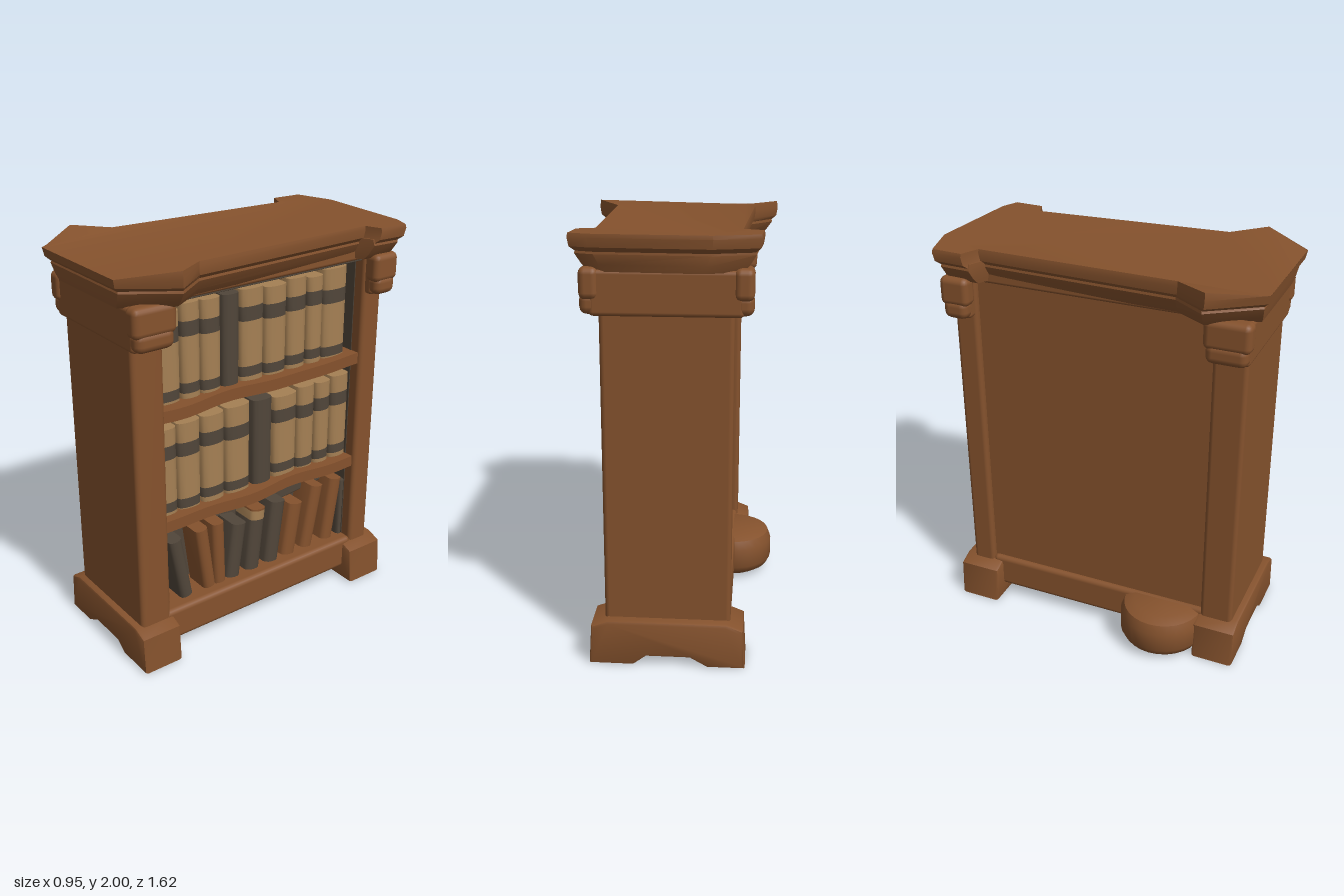
import * as THREE from 'three';
import { toCreasedNormals } from 'three/addons/utils/BufferGeometryUtils.js';
import { RoundedBoxGeometry } from 'three/addons/geometries/RoundedBoxGeometry.js';

const material = (name, color) => Object.assign(new THREE.MeshStandardMaterial({ color }), { name });
const wood = material('warm wood', 0x85522d);
const tan = material('tan leather', 0xa58054);
const dark = material('dark grey brown', 0x51463a);

function add(parent, name, geometry, mat, x = 0, y = 0, z = 0) {
  const mesh = new THREE.Mesh(geometry, mat);
  mesh.name = name;
  mesh.position.set(x, y, z);
  parent.add(mesh);
  return mesh;
}

// Soft-edged block given by its limits
function block(parent, name, mat, [x0, x1], [y0, y1], [z0, z1], radius = 0.015) {
  const g = new RoundedBoxGeometry(x1 - x0, y1 - y0, z1 - z0, 2, radius);
  return add(parent, name, g, mat, (x0 + x1) / 2, (y0 + y1) / 2, (z0 + z1) / 2);
}

// Closed loft of one outline through several levels; levels hold [y, xScale, zScale]
function loft(outline, levels) {
  const n = outline.length, pos = [], index = [];
  levels.forEach(([y, sx, sz], k) => outline.forEach(([x, z, lift]) =>
    pos.push(x * sx, y + (k === levels.length - 1 ? lift : 0), z * sz)));
  for (let k = 0; k < levels.length - 1; k++) {
    for (let i = 0; i < n; i++) {
      const a = k * n + i, b = k * n + (i + 1) % n;
      index.push(a, b, b + n, a, b + n, a + n);
    }
  }
  const flat = outline.map(([x, z]) => new THREE.Vector2(x, -z));
  const top = (levels.length - 1) * n;
  for (const [a, b, c] of THREE.ShapeUtils.triangulateShape(flat, [])) {
    index.push(a, c, b, top + a, top + b, top + c);
  }
  const g = new THREE.BufferGeometry();
  g.setAttribute('position', new THREE.Float32BufferAttribute(pos, 3));
  g.setIndex(index);
  return toCreasedNormals(g, 0.5);
}

// Upright book with a rounded spine towards +x, stacked from coloured bands
const bookProfile = (w) => {
  const s = new THREE.Shape();
  s.moveTo(-0.14, -w / 2);
  s.lineTo(-0.025, -w / 2);
  s.bezierCurveTo(0.008, -w / 2, 0.008, w / 2, -0.025, w / 2);
  s.lineTo(-0.14, w / 2);
  s.closePath();
  return s;
};
function book(parent, name, z, y, width, bands) {
  const group = new THREE.Group();
  group.name = name;
  group.position.set(0.235, y, z);
  let h = 0;
  for (const [height, mat] of bands) {
    const g = new THREE.ExtrudeGeometry(bookProfile(width), { depth: height, bevelEnabled: false, curveSegments: 6 });
    g.rotateX(-Math.PI / 2);
    add(group, 'bookBand', toCreasedNormals(g, 0.7), mat, 0, h, 0);
    h += height;
  }
  parent.add(group);
  return group;
}

// Plinth block with two feet and a hollow between them
function baseBlock(parent, name, z, depth) {
  const s = new THREE.Shape([[-0.345, 0.015], [-0.19, 0.015], [-0.11, 0.06], [0.1, 0.06], [0.16, 0.015],
    [0.345, 0.015], [0.335, 0.18], [0.27, 0.205], [-0.27, 0.205], [-0.335, 0.18]]
    .map(([x, y]) => new THREE.Vector2(x, y)));
  const b = 0.015;
  const g = new THREE.ExtrudeGeometry(s, { depth: depth - 2 * b, bevelEnabled: true, bevelSize: b, bevelThickness: b, bevelSegments: 2 });
  add(parent, name, toCreasedNormals(g, 0.7), wood, 0, 0, z + b);
}

export function createModel() {
  const model = new THREE.Group();
  model.name = 'bookcase';

  // Cabinet body and recess lining
  block(model, 'backPanel', wood, [-0.26, 0.06], [0.08, 1.86], [-0.66, 0.66]);
  block(model, 'recessBack', dark, [0.055, 0.066], [0.2, 1.85], [-0.615, 0.57], 0.003);
  block(model, 'recessCeiling', dark, [0.06, 0.265], [1.795, 1.81], [-0.615, 0.57], 0.003);
  for (const [z0, z1] of [[0.56, 0.57], [-0.617, -0.607]]) {
    block(model, 'recessSide', dark, [0.06, 0.225], [0.23, 1.81], [z0, z1], 0.003);
  }
  block(model, 'lintel', wood, [-0.28, 0.28], [1.805, 1.9], [-0.68, 0.68]);
  block(model, 'plinth', wood, [-0.285, 0.29], [0.065, 0.24], [-0.62, 0.6], 0.025);

  // Side walls, capitals and feet
  for (const [z0, z1, c0, c1] of [[0.565, 0.73, 0.55, 0.745], [-0.73, -0.61, -0.745, -0.62]]) {
    block(model, 'sideWall', wood, [-0.29, 0.29], [0.15, 1.85], [z0, z1], 0.022);
    block(model, 'capital', wood, [-0.33, 0.33], [1.63, 1.83], [c0, c1], 0.02);
    for (const side of [-1, 1]) {
      const x = [side * 0.285, side * 0.372].sort((a, b) => a - b);
      block(model, 'capitalUpperScroll', wood, x, [1.7, 1.84], [c0 - 0.012, c1 + 0.012], 0.03);
      block(model, 'capitalLowerScroll', wood, x, [1.635, 1.73], [c0, c1], 0.035);
    }
  }
  baseBlock(model, 'frontBase', 0.55, 0.215);
  baseBlock(model, 'rearBase', -0.78, 0.22);

  // Round foot bulging out of the back
  const footProfile = [[0, 0.01], [0.16, 0.01], [0.2, 0.035], [0.218, 0.07], [0.218, 0.17], [0.2, 0.215], [0.15, 0.235], [0, 0.235]]
    .map(([r, y]) => new THREE.Vector2(r, y));
  add(model, 'roundFoot', toCreasedNormals(new THREE.LatheGeometry(footProfile, 28), 0.7), wood, -0.262, 0, 0.36);

  // Dark stains on the underside
  const ring = new THREE.RingGeometry(0.1, 0.145, 24, 1, 0.5, 4.6).rotateX(Math.PI / 2);
  add(model, 'undersideRing', ring, dark, -0.262, 0.008, 0.36);
  for (const [x, z, r] of [[0.15, 0.32, 0.07], [0.08, -0.1, 0.05], [-0.15, -0.35, 0.06], [0.16, -0.45, 0.04]]) {
    const spot = new THREE.CircleGeometry(r, 9).scale(0.6, 1, 1).rotateX(Math.PI / 2);
    add(model, 'undersideStain', spot, dark, x, 0.062, z);
  }

  // Cornice: stepped slab flaring at both ends; third value lifts the top corner
  const outline = [[-0.31, 0.81, -0.02], [0.31, 0.81, -0.02], [0.475, 0.58, 0.018], [0.36, 0.42, 0.005],
    [0.32, -0.57, 0], [0.4, -0.6, 0], [0.41, -0.75, 0], [0.32, -0.785, 0], [-0.2, -0.815, 0],
    [-0.4, -0.755, 0], [-0.41, -0.6, 0], [-0.32, -0.56, 0], [-0.36, 0.42, 0.005], [-0.475, 0.58, 0.018]];
  add(model, 'corniceMoulding', loft(outline, [[1.82, 0.8, 0.945], [1.85, 0.87, 0.955], [1.895, 0.94, 0.965], [1.925, 0.92, 0.96]]
    .map((l) => l)), wood);
  add(model, 'corniceSlab', loft(outline, [[1.905, 0.93, 0.965], [1.925, 0.985, 0.99], [1.965, 1, 1], [1.982, 0.99, 0.997]]), wood);

  // Gently uneven shelves
  for (const y of [1.282, 0.708]) {
    const g = new THREE.BoxGeometry(0.225, 0.058, 1.2, 2, 1, 24);
    const p = g.attributes.position;
    for (let i = 0; i < p.count; i++) {
      const z = p.getZ(i);
      p.setY(i, p.getY(i) + 0.007 * Math.sin(z * 9 + y * 5));
      if (p.getX(i) > 0.1) p.setX(i, p.getX(i) + 0.007 * Math.sin(z * 14 + y));
    }
    g.computeVertexNormals();
    add(model, 'shelf', g, wood, 0.165, y, -0.02);
  }

  // Two rows of banded books: [left z, right z, height, plain dark?]
  const rows = [
    [1.312, [[0.565, 0.435, 0.43], [0.428, 0.325, 0.455], [0.318, 0.21, 0.45], [0.2, 0.105, 0.45, true], [0.095, -0.04, 0.455],
      [-0.05, -0.178, 0.44], [-0.184, -0.3, 0.455], [-0.308, -0.405, 0.44], [-0.41, -0.56, 0.46]]],
    [0.738, [[0.565, 0.465, 0.45], [0.458, 0.33, 0.455], [0.32, 0.19, 0.455], [0.18, 0.035, 0.46], [0.015, -0.1, 0.455, true],
      [-0.113, -0.26, 0.44], [-0.266, -0.375, 0.455], [-0.383, -0.48, 0.45], [-0.488, -0.603, 0.46]]],
  ];
  for (const [y, books] of rows) {
    books.forEach(([a, b, h, plain], i) => {
      const j = 0.008 * Math.sin(i * 2.3 + y * 4);
      const bands = plain ? [[h, dark]]
        : [[0.018 + j, tan], [0.05, dark], [0.225, tan], [0.07, dark], [h - 0.363 - j, tan]];
      book(model, plain ? 'darkBook' : 'bandedBook', (a + b) / 2, y, a - b, bands);
    });
  }

  // Leaning books on the lowest shelf: [bottom z, top z, width, height, material, tan cap?]
  const leaning = [[0.55, 0.553, 0.045, 0.34, wood], [0.425, 0.485, 0.07, 0.34, dark], [0.285, 0.33, 0.07, 0.345, wood],
    [0.22, 0.23, 0.07, 0.345, wood], [0.14, 0.095, 0.085, 0.3, dark], [0.015, -0.025, 0.09, 0.345, dark, true],
    [-0.11, -0.155, 0.09, 0.345, dark], [-0.225, -0.275, 0.09, 0.295, wood], [-0.35, -0.42, 0.08, 0.355, wood],
    [-0.495, -0.55, 0.08, 0.355, wood], [-0.585, -0.588, 0.035, 0.33, dark]];
  for (const [zb, zt, w, h, mat, cap] of leaning) {
    const bands = cap ? [[h - 0.06, mat], [0.05, tan], [0.01, wood]] : [[h, mat]];
    book(model, 'leaningBook', zb, 0.245, w, bands).rotation.x = Math.atan2(zt - zb, h);
  }
  block(model, 'fallenBook', dark, [0.07, 0.14], [0.55, 0.64], [-0.56, -0.2], 0.01).rotation.x = 0.1;

  return model;
}
